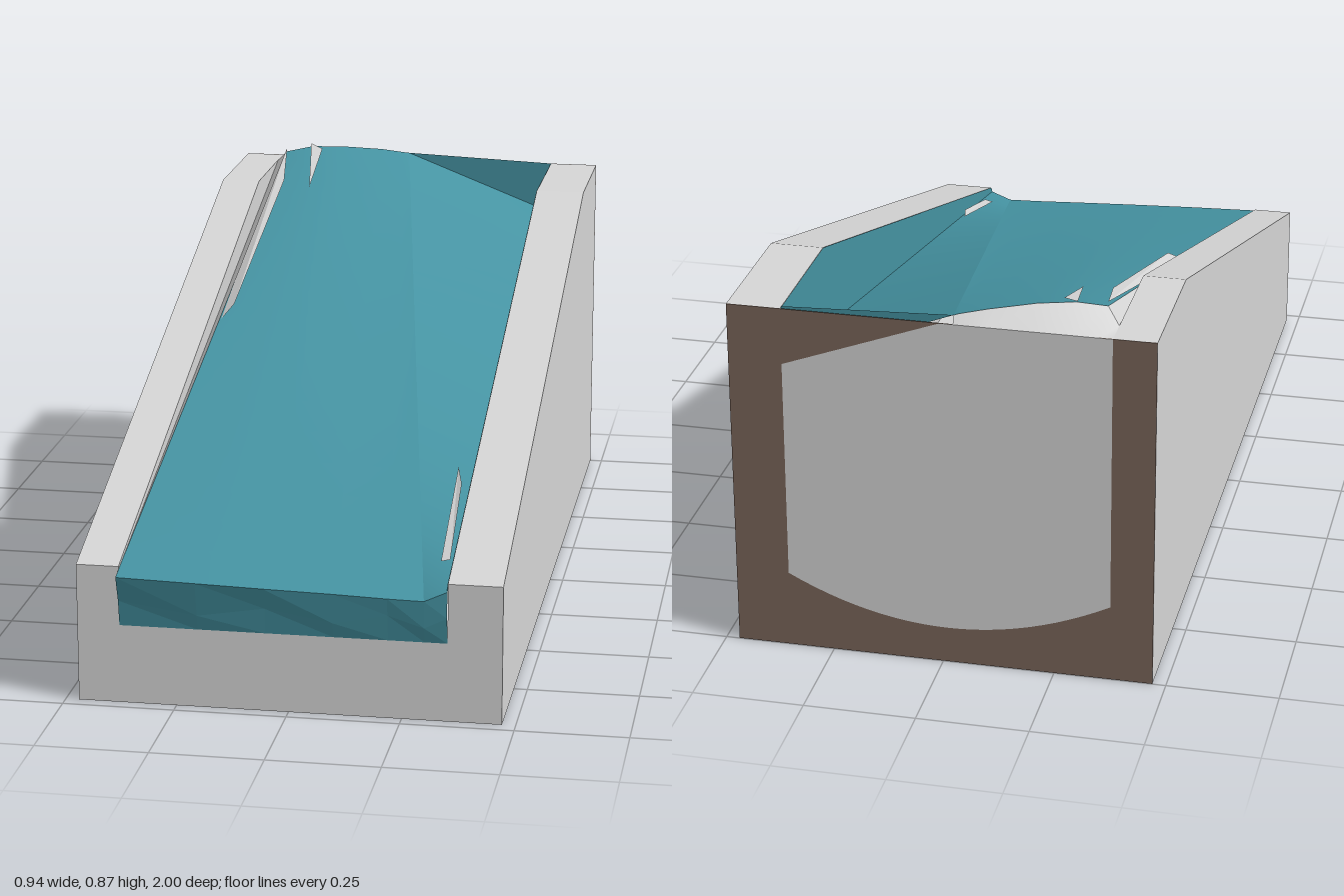
import * as THREE from 'three';

const mat = (name, color) => {
  const m = new THREE.MeshStandardMaterial({ color, side: THREE.DoubleSide });
  m.name = name;
  return m;
};

export function createModel() {
  const group = new THREE.Group();
  const concrete = mat('pale concrete', 0xd6d6d6);
  const water = mat('teal water', 0x4593a2);
  const earth = mat('brown back', 0x7b665a);

  const add = (name, geo, material) => {
    const mesh = new THREE.Mesh(geo, material);
    mesh.name = name;
    group.add(mesh);
    return mesh;
  };

  // Smooth surface ruled between two matching edges
  const ruled = (a, b, steps = 1) => {
    const pos = [], idx = [], n = a.length;
    for (let j = 0; j <= steps; j++)
      for (let i = 0; i < n; i++)
        for (let k = 0; k < 3; k++) pos.push(THREE.MathUtils.lerp(a[i][k], b[i][k], j / steps));
    for (let j = 0; j < steps; j++)
      for (let i = 0; i < n - 1; i++) {
        const p = j * n + i;
        idx.push(p, p + 1, p + n, p + 1, p + n + 1, p + n);
      }
    const g = new THREE.BufferGeometry();
    g.setAttribute('position', new THREE.Float32BufferAttribute(pos, 3));
    g.setIndex(idx);
    g.computeVertexNormals();
    return g;
  };

  // Flat patch: fan around its first corner
  const patch = (pts) => {
    const pos = [];
    for (let i = 1; i < pts.length - 1; i++) pos.push(...pts[0], ...pts[i], ...pts[i + 1]);
    const g = new THREE.BufferGeometry();
    g.setAttribute('position', new THREE.Float32BufferAttribute(pos, 3));
    g.computeVertexNormals();
    return g;
  };

  // Sloped side walls, drawn as (-z, y) and extruded along x
  const side = new THREE.Shape([[-0.97, 0], [0.998, 0], [0.998, 0.82], [0.66, 0.82], [-0.97, 0.315]]
    .map(([u, v]) => new THREE.Vector2(u, v)));
  for (const [name, x0, x1] of [['rightWall', -0.47, -0.375], ['leftWall', 0.35, 0.47]]) {
    const g = new THREE.ExtrudeGeometry(side, { depth: x1 - x0, bevelEnabled: false });
    g.rotateY(Math.PI / 2).translate(x0, 0, 0);
    add(name, g, concrete);
  }

  // Floor of the channel
  add('channelFloor', new THREE.BoxGeometry(0.725, 0.18, 1.968).translate(-0.0125, 0.09, -0.014), concrete);

  // Brown back plate with the rounded channel end set on it
  add('backPlate', new THREE.BoxGeometry(0.94, 0.82, 0.002).translate(0, 0.41, -0.998), earth);
  const end = new THREE.Shape();
  end.moveTo(-0.375, 0.18);
  end.quadraticCurveTo(-0.0125, -0.01, 0.35, 0.18);
  end.lineTo(0.35, 0.69);
  end.lineTo(0, 0.82);
  end.lineTo(-0.375, 0.82);
  // Mirrored in x by the half turn, so the geometry is mirrored first by its points
  const endPts = end.getPoints(24).map((p) => new THREE.Vector2(-p.x, p.y));
  add('channelEnd', new THREE.ShapeGeometry(new THREE.Shape(endPts)).rotateY(Math.PI).translate(0, 0, -1), concrete);

  // Water surface, from the front lip up to the crest at the back
  const lip = [[-0.375, 0.3, 1], [-0.2, 0.295, 0.998], [-0.05, 0.29, 0.995], [0.1, 0.285, 0.99],
    [0.22, 0.28, 0.987], [0.3, 0.278, 0.985]];
  const crest = [[-0.345, 0.85, -0.9], [-0.28, 0.862, -0.92], [-0.2, 0.86, -0.94], [-0.1, 0.85, -0.97],
    [-0.04, 0.84, -0.985], [-0.03, 0.838, -0.99]];
  const corner = [0.35, 0.3, 0.98], low = [0.35, 0.69, -0.99];
  add('waterSurface', ruled(lip, crest, 16), water);
  add('waterHollow', ruled([lip[5], corner], [crest[5], low], 16), water);

  // Water clinging to the left wall and the back of the hollow
  add('waterSide', patch([[0.349, 0.3, 0.98], [0.349, 0.69, -0.99], [0.349, 0.82, -0.99],
    [0.349, 0.82, -0.66], [0.349, 0.315, 0.97]]), water);
  add('waterBack', patch([[-0.03, 0.838, -0.99], low, [0.35, 0.822, -0.99]]), water);

  // Faceted front face of the water under the lip
  const front = [...lip, corner];
  const mid = front.map(([x, y], i) => [x, i % 2 ? 0.215 : 0.24, 0.98]);
  const foot = front.map(([x]) => [x, 0.18, 0.971]);
  for (const [a, b] of [[mid, front], [foot, mid]])
    add('waterFront', ruled(a, b).toNonIndexed(), water).geometry.computeVertexNormals();

  // Pale slope behind the crest and strip along the right wall
  const ridge = [[-0.375, 0.82, -0.93], ...crest];
  add('crestBack', ruled(ridge.map(([x]) => [x, 0.82, -1]), ridge), concrete);
  add('edgeStrip', patch([[-0.375, 0.3, 1], [-0.345, 0.85, -0.9], [-0.375, 0.82, -0.93]]), concrete);

  // Pale slivers showing through the water
  const slivers = [
    [[-0.345, 0.86, -0.9], [-0.36, 0.6, -0.05], [-0.33, 0.635, -0.1], [-0.32, 0.812, -0.72]],
    [[-0.285, 0.868, -0.93], [-0.25, 0.8, -0.7], [-0.25, 0.86, -0.9]],
    [[0.307, 0.43, 0.49], [0.318, 0.325, 0.85], [0.338, 0.33, 0.85], [0.325, 0.415, 0.57]],
  ];
  for (const s of slivers) add('paleSliver', patch(s), concrete);

  return group;
}
